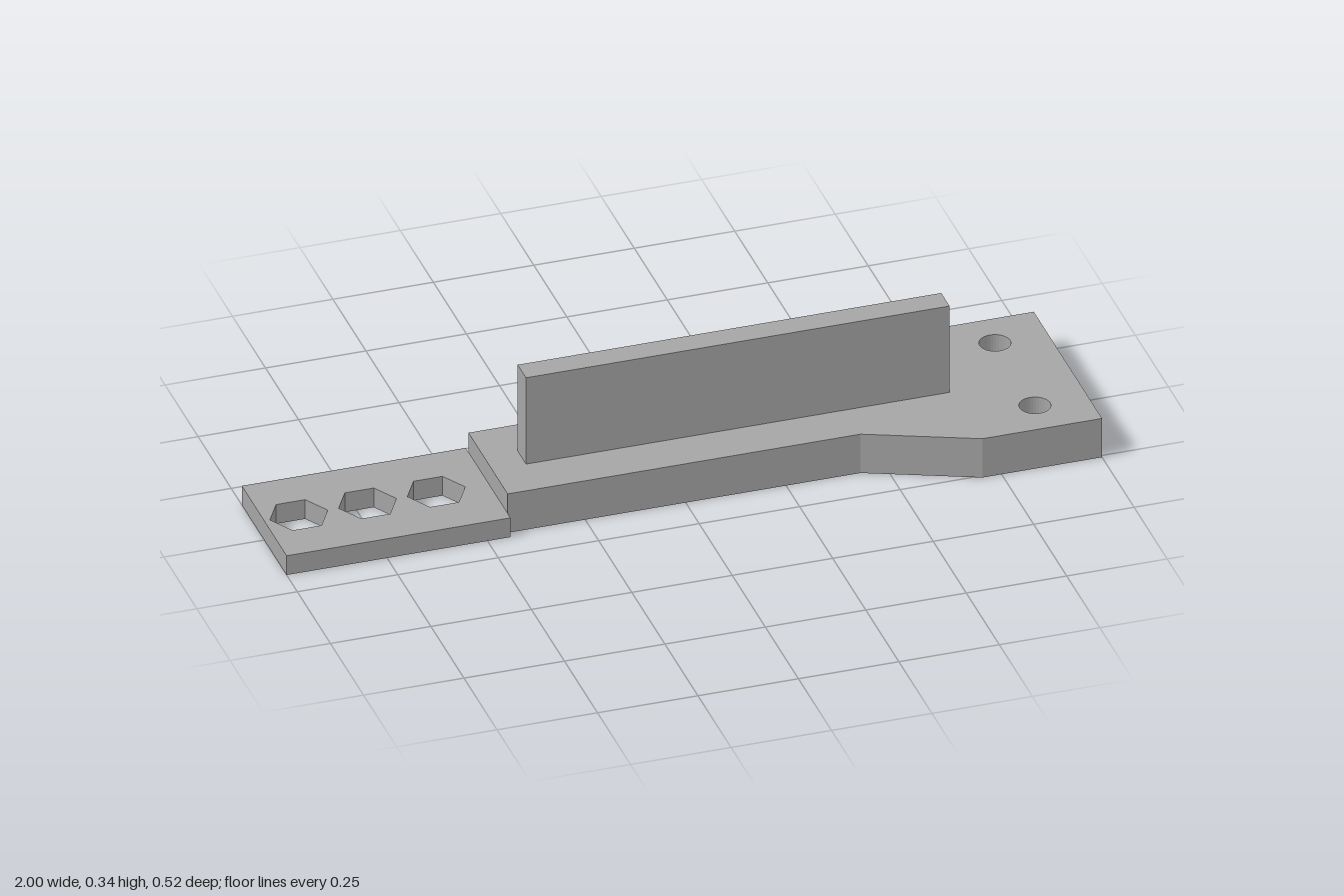
import * as THREE from 'three';

// Horizontal plate: outline in (x, z), with round or polygonal holes [x, z, radius, sides]
function plate(name, points, holes, height, material) {
  const shape = new THREE.Shape(points.map(([x, z]) => new THREE.Vector2(x, z)));
  for (const [cx, cz, r, sides] of holes) {
    const ring = [];
    for (let i = 0; i < sides; i++) {
      const a = -(i / sides) * Math.PI * 2;
      ring.push(new THREE.Vector2(cx + r * Math.cos(a), cz + r * Math.sin(a)));
    }
    shape.holes.push(new THREE.Path(ring));
  }
  const geometry = new THREE.ExtrudeGeometry(shape, { depth: height, bevelEnabled: false });
  geometry.rotateX(-Math.PI / 2);
  const mesh = new THREE.Mesh(geometry, material);
  mesh.name = name;
  return mesh;
}

export function createModel() {
  const group = new THREE.Group();
  group.name = 'bracket';
  const grey = new THREE.MeshStandardMaterial({ color: 0xa5a5a5 });
  grey.name = 'grey';

  // Thick body flaring into a wide head with two screw holes
  const side = [[-0.443, 0.148], [0.435, 0.148], [0.702, 0.258], [1, 0.258]];
  const outline = [...side.map(([x, z]) => [x, -z]), ...side.slice().reverse()];
  const screwHoles = [-1, 1].map((s) => [0.868, s * 0.151, 0.038, 32]);
  group.add(plate('body', outline, screwHoles, 0.107, grey));

  // Thin end tab with three hexagonal holes
  const tab = [[-1, -0.169], [-0.443, -0.169], [-0.443, 0.169], [-1, 0.169]];
  const hexHoles = [-0.914, -0.743, -0.572].map((x) => [x, 0, 0.072, 6]);
  group.add(plate('endTab', tab, hexHoles, 0.053, grey));

  // Upright fin along the middle
  const fin = new THREE.Mesh(new THREE.BoxGeometry(1.054, 0.238, 0.063), grey);
  fin.name = 'fin';
  fin.position.set(0.168, 0.107 + 0.119, 0);
  group.add(fin);

  return group;
}
